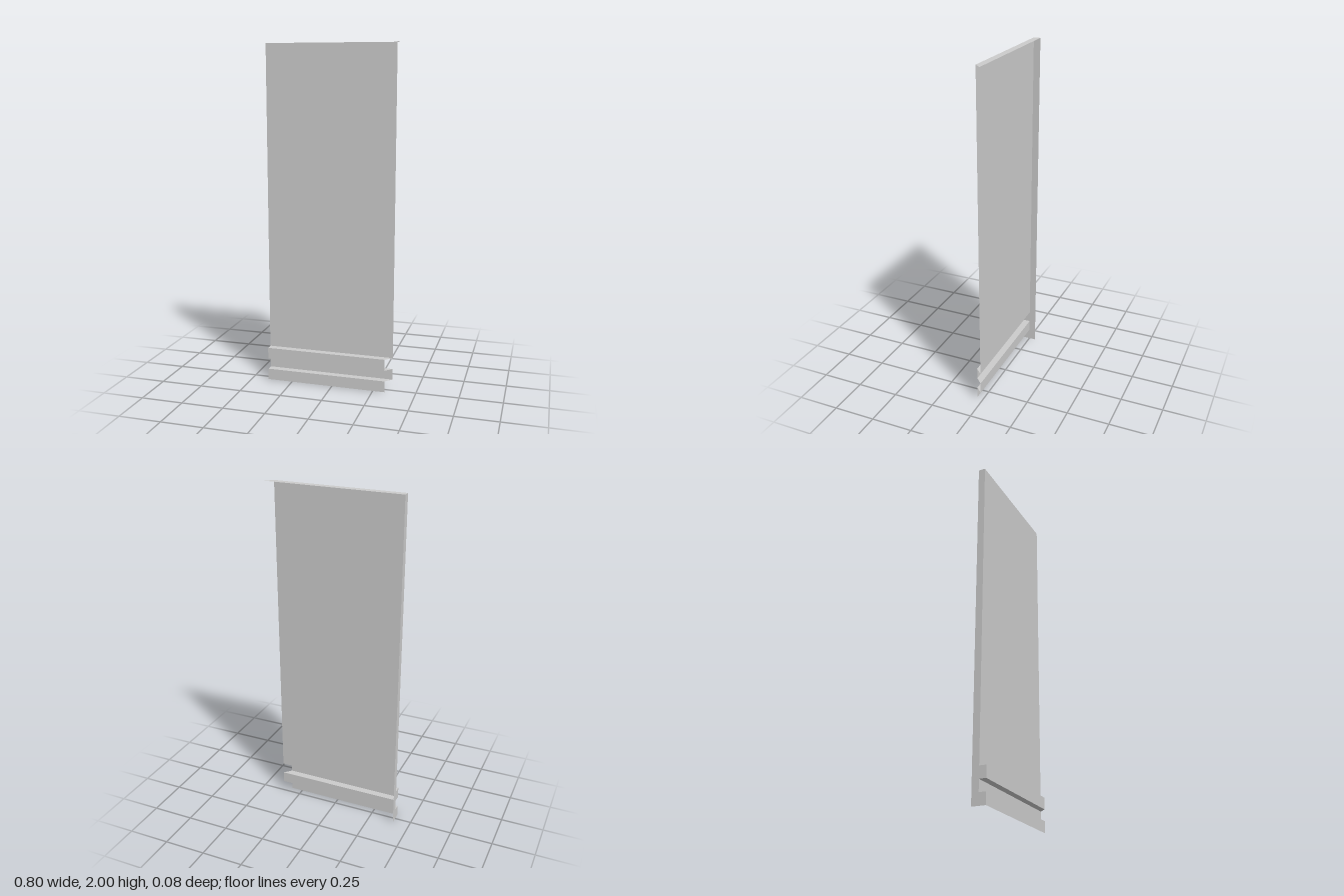
import * as THREE from 'three';

const LEFT_END = 0.36; // mitred end: x = LEFT_END - z
const RIGHT_END = -0.4;

// Board profile as [z, y], from the top back edge down to the front foot
const PROFILE = [
  [-0.04, 2], [0, 2], [0, 0.2], [0.04, 0.2], [0.04, 0.133],
  [0, 0.133], [0, 0.067], [0.04, 0.067], [0.04, 0],
];
const NAMES = [
  'topEdge', 'mainPanel', 'upperRailTop', 'upperRailFace', 'upperRailUnderside',
  'grooveFace', 'lowerRailTop', 'lowerRailFace',
];

export function createModel() {
  const group = new THREE.Group();
  group.name = 'mitredPanel';
  const material = new THREE.MeshStandardMaterial({ color: 0xcccccc, side: THREE.DoubleSide });

  const add = (name, geometry) => {
    const mesh = new THREE.Mesh(geometry, material);
    mesh.name = name;
    group.add(mesh);
  };

  // One flat strip per profile segment, cut at 45 degrees on the left end
  NAMES.forEach((name, i) => {
    const [z0, y0] = PROFILE[i];
    const [z1, y1] = PROFILE[i + 1];
    const geometry = new THREE.BufferGeometry();
    geometry.setAttribute('position', new THREE.Float32BufferAttribute([
      RIGHT_END, y0, z0,
      RIGHT_END, y1, z1,
      LEFT_END - z1, y1, z1,
      LEFT_END - z0, y0, z0,
    ], 3));
    geometry.setIndex([0, 1, 2, 0, 2, 3]);
    geometry.computeVertexNormals();
    add(name, geometry);
  });

  // Square end wall on the right; back, bottom and mitred end stay open
  const outline = [...PROFILE, [-0.04, 0]].map(([z, y]) => new THREE.Vector2(z, y));
  const wall = new THREE.ShapeGeometry(new THREE.Shape(outline));
  wall.rotateY(-Math.PI / 2);
  wall.translate(RIGHT_END, 0, 0);
  add('endWall', wall);

  return group;
}
